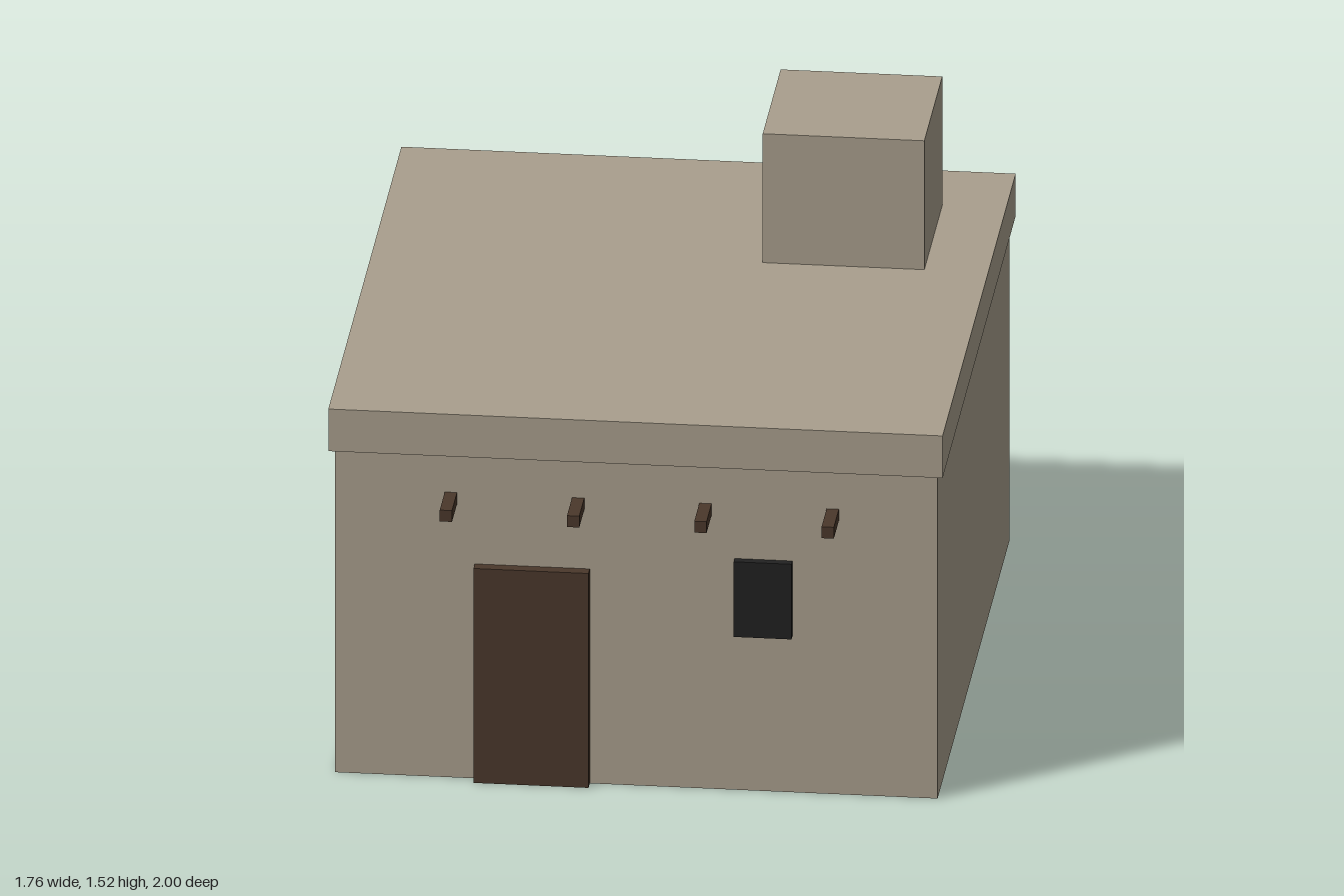
import * as THREE from 'three';

function material(name, color) {
  const m = new THREE.MeshStandardMaterial({ color });
  m.name = name;
  return m;
}

export function createModel() {
  const model = new THREE.Group();
  model.name = 'adobeHouse';

  const clay = material('clay', 0xa99f8d);
  const wood = material('darkWood', 0x4a382b);
  const glass = material('darkGlass', 0x212121);

  // Box given by its extents along each axis
  function block(name, mat, [x0, x1], [y0, y1], [z0, z1]) {
    const mesh = new THREE.Mesh(new THREE.BoxGeometry(x1 - x0, y1 - y0, z1 - z0), mat);
    mesh.position.set((x0 + x1) / 2, (y0 + y1) / 2, (z0 + z1) / 2);
    mesh.name = name;
    model.add(mesh);
  }

  // Main volumes
  block('walls', clay, [-0.857, 0.862], [0, 0.997], [-0.982, 0.87]);
  block('roofSlab', clay, [-0.874, 0.878], [0.997, 1.127], [-1, 0.885]);
  block('roofRoom', clay, [0.235, 0.696], [1.127, 1.525], [-0.752, -0.29]);

  // Door and windows, set slightly into the walls
  block('door', wood, [-0.458, -0.13], [0, 0.662], [0.84, 0.903]);
  block('frontWindow', glass, [0.283, 0.448], [0.482, 0.714], [0.84, 0.894]);
  block('sideWindow', glass, [-0.882, -0.83], [0.482, 0.714], [-0.36, -0.16]);

  // Roof beam ends projecting from the front wall
  for (let i = 0; i < 4; i++) {
    const x = -0.526 + i * 0.363;
    block('roofBeam' + (i + 1), wood, [x - 0.0175, x + 0.0175], [0.845, 0.88], [0.84, 1]);
  }

  return model;
}
